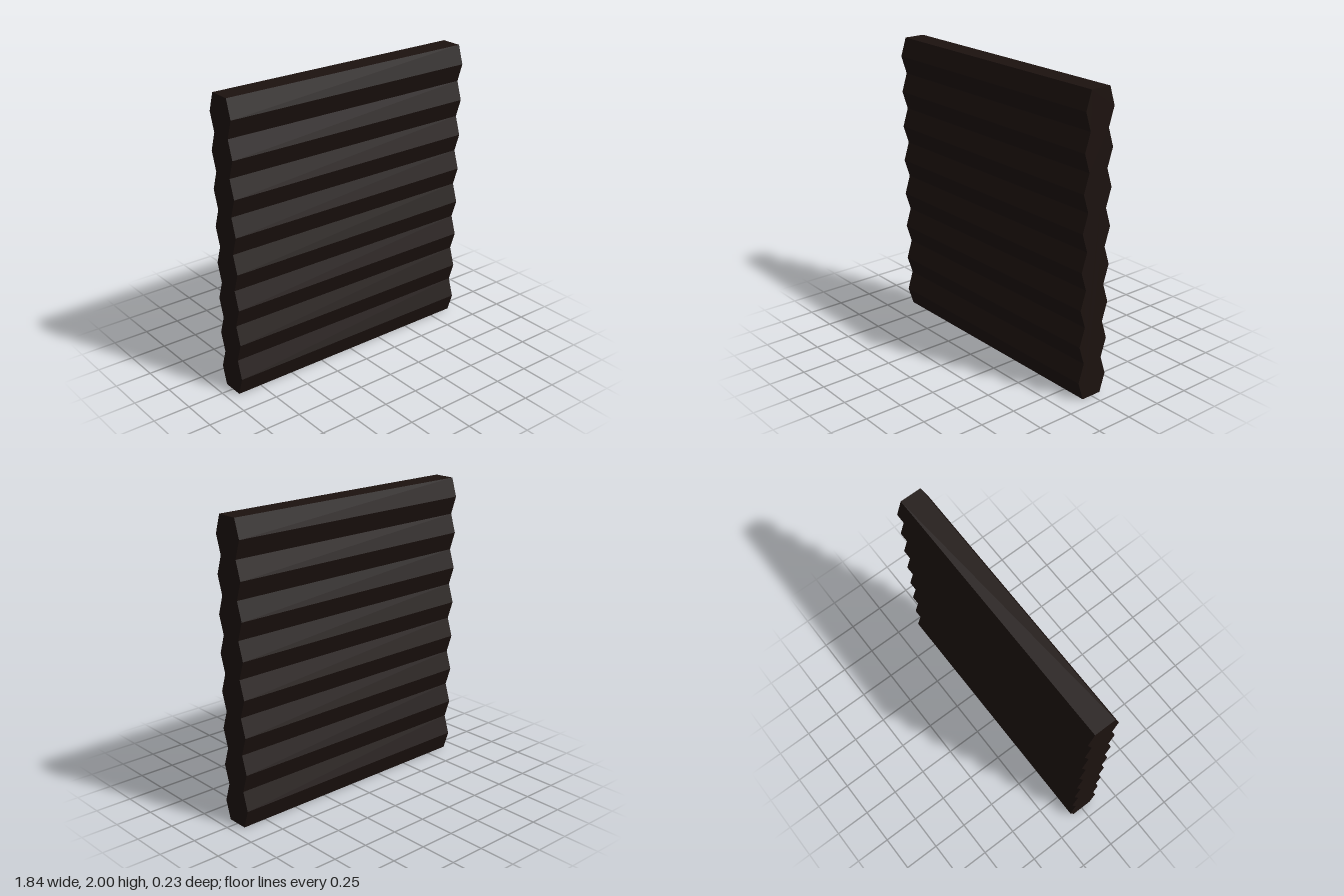
import * as THREE from 'three';

const WIDTH = 1.835, HEIGHT = 2, COURSES = 8;
const VALLEY = 0.073, RIDGE = 0.113; // half depth between and across the beams

export function createModel() {
  const group = new THREE.Group();
  group.name = 'timberWall';

  // Zigzag side profile: one ridge per stacked beam
  const front = [];
  for (let i = 0; i <= COURSES * 2; i++) {
    front.push(new THREE.Vector2(i % 2 ? RIDGE : VALLEY, (i * HEIGHT) / (COURSES * 2)));
  }
  const back = front.map((p) => new THREE.Vector2(-p.x, p.y)).reverse();
  const profile = new THREE.Shape([...front, ...back]);

  // Sweep the profile along the wall's width
  const geometry = new THREE.ExtrudeGeometry(profile, { depth: WIDTH, bevelEnabled: false });
  geometry.translate(0, 0, -WIDTH / 2);
  geometry.rotateY(-Math.PI / 2);

  const wood = new THREE.MeshStandardMaterial({ color: 0x1c120f, flatShading: true });
  const wall = new THREE.Mesh(geometry, wood);
  wall.name = 'stackedBeams';
  group.add(wall);
  return group;
}
